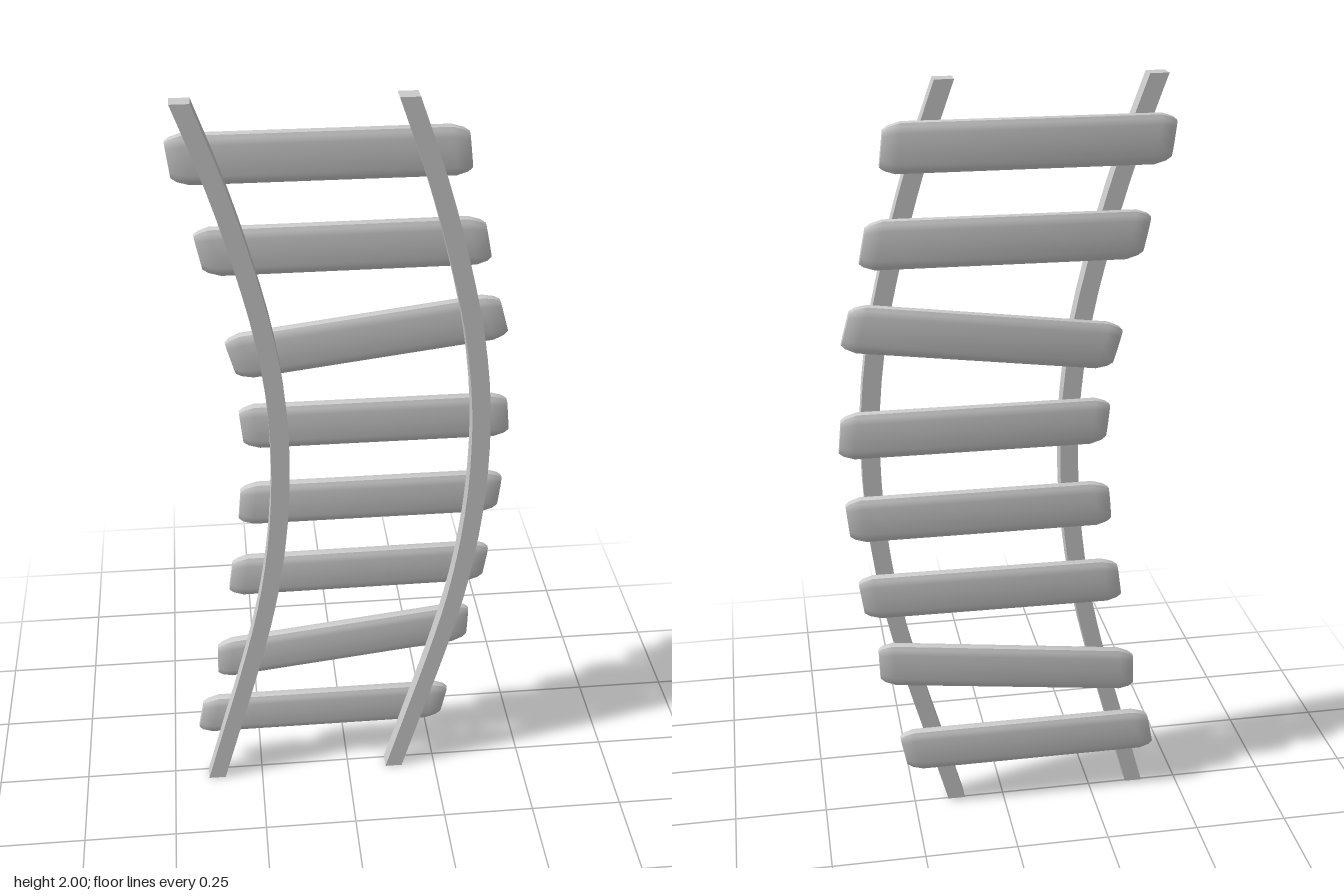
import * as THREE from 'three';
import { toCreasedNormals } from 'three/addons/utils/BufferGeometryUtils.js';

const material = new THREE.MeshStandardMaterial({ color: 0xcccccc });

// Bowed rail: a curved strip of constant width, extruded to its thickness
function railGeometry(offset) {
  const bow = new THREE.SplineCurve([
    [-0.38, 0], [-0.325, 0.2], [-0.27, 0.4], [-0.222, 0.6], [-0.19, 0.8], [-0.175, 1],
    [-0.178, 1.2], [-0.203, 1.4], [-0.248, 1.6], [-0.305, 1.8], [-0.375, 2],
  ].map(([x, y]) => new THREE.Vector2(x + offset, y)));
  const points = bow.getPoints(30);
  const half = 0.0235;
  const right = points.map(p => new THREE.Vector2(p.x + half, p.y));
  const left = points.map(p => new THREE.Vector2(p.x - half, p.y)).reverse();
  const geometry = new THREE.ExtrudeGeometry(new THREE.Shape([...right, ...left]), {
    depth: 0.044, bevelEnabled: false,
  });
  geometry.translate(0, 0, -0.005);
  return toCreasedNormals(geometry, 0.5);
}

// Worn plank: a rounded section swept along x, narrowing at both slanted ends
function plankGeometry(length, height, slant) {
  const sides = 16, depth = 0.037, L = length / 2;
  // [x, height scale, depth scale]
  const ends = [[L, 0.72, 0.6], [L - 0.012, 0.86, 0.85], [L - 0.04, 1, 1]];
  const stations = [...ends.map(([x, h, d]) => [-x, h, d]), ...ends.reverse()];
  const soften = v => Math.sign(v) * Math.pow(Math.abs(v), 0.55);
  const positions = [], index = [];
  for (const [x, h, d] of stations) {
    for (let j = 0; j < sides; j++) {
      const a = (j / sides) * Math.PI * 2;
      const y = soften(Math.cos(a)) * h * height / 2;
      positions.push(x + slant * y, y, soften(Math.sin(a)) * d * depth / 2);
    }
  }
  for (let i = 0; i < stations.length - 1; i++) {
    for (let j = 0; j < sides; j++) {
      const k = (j + 1) % sides;
      const a = i * sides + j, d = i * sides + k, b = a + sides, c = d + sides;
      index.push(a, d, c, a, c, b);
    }
  }
  // End caps
  const last = (stations.length - 1) * sides;
  for (let j = 1; j < sides - 1; j++) {
    index.push(0, j + 1, j, last, last + j, last + j + 1);
  }
  const geometry = new THREE.BufferGeometry();
  geometry.setAttribute('position', new THREE.Float32BufferAttribute(positions, 3));
  geometry.setIndex(index);
  return toCreasedNormals(geometry, 0.6);
}

export function createModel() {
  const group = new THREE.Group();
  group.name = 'bowedLadder';

  const add = (name, geometry) => {
    const mesh = new THREE.Mesh(geometry, material);
    mesh.name = name;
    group.add(mesh);
    return mesh;
  };

  add('rightRail', railGeometry(0));
  add('leftRail', railGeometry(0.512));

  // Planks from the bottom up: [left x, right x, centre y, tilt, slant]
  const planks = [
    [-0.415, 0.28, 0.19, 0, 0.2],
    [-0.362, 0.34, 0.43, 0.12, 0.15],
    [-0.312, 0.378, 0.674, 0.005, 0.15],
    [-0.28, 0.405, 0.902, 0, 0.1],
    [-0.268, 0.415, 1.135, 0, -0.1],
    [-0.29, 0.393, 1.376, 0.125, -0.15],
    [-0.352, 0.342, 1.62, 0.003, -0.2],
    [-0.41, 0.29, 1.85, 0, -0.12],
  ];
  planks.forEach(([x0, x1, y, tilt, slant], i) => {
    const plank = add(`plank${i + 1}`, plankGeometry(x1 - x0, 0.123, slant));
    plank.position.set((x0 + x1) / 2, y, -0.024);
    plank.rotation.z = tilt;
  });
  return group;
}
